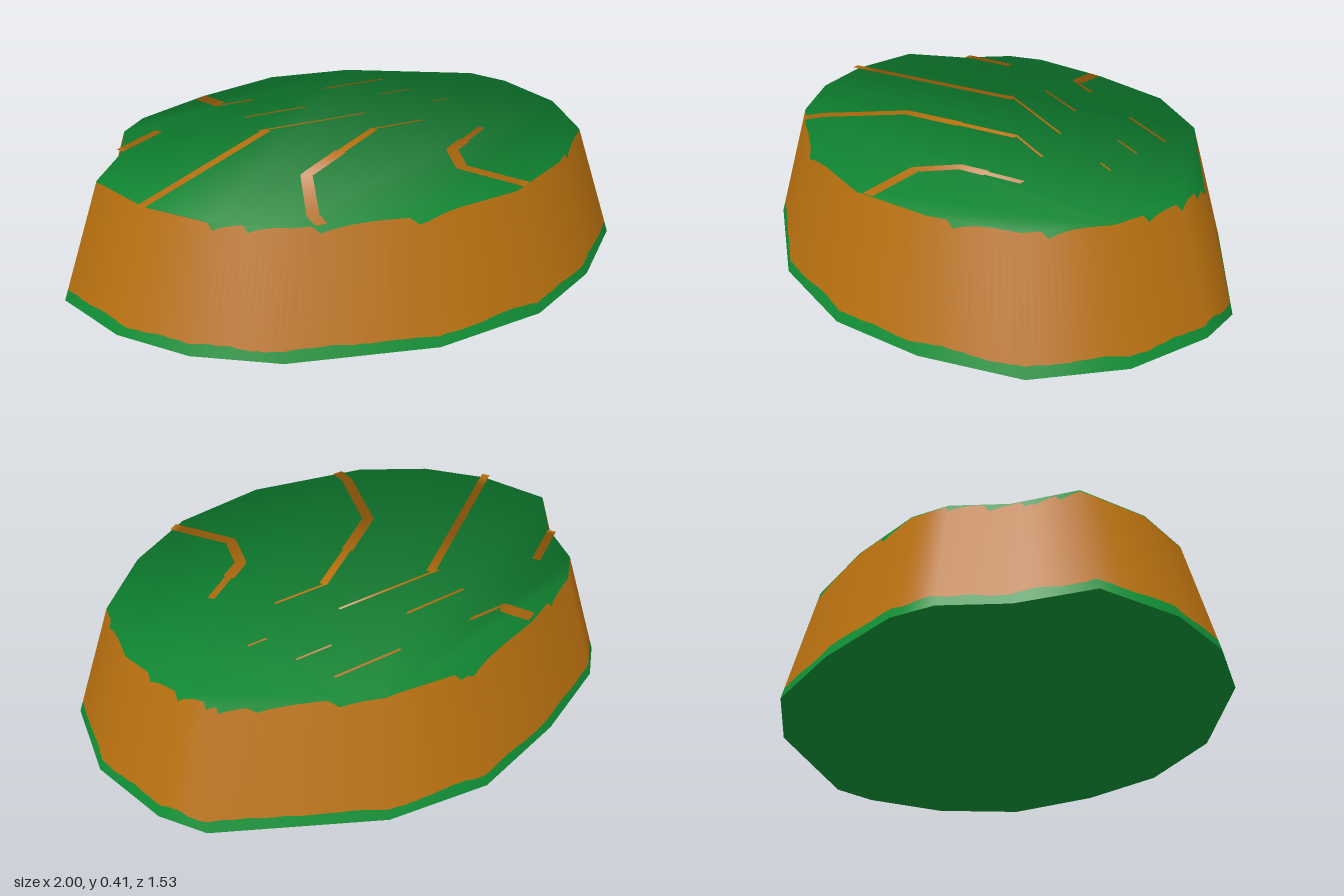
import * as THREE from 'three';

const H = 0.41, TAPER = 0.86, STEPS = 14;

// Footprint corners [x, z], counter-clockwise seen from above
const base = [
  [0, -0.77], [-0.36, -0.67], [-0.67, -0.53], [-0.78, -0.42], [-0.85, -0.21], [-1, 0],
  [-0.9, 0.28], [-0.73, 0.49], [-0.48, 0.65], [0, 0.76], [0.39, 0.71], [0.68, 0.55],
  [0.93, 0.31], [1, 0], [0.94, -0.3], [0.85, -0.45], [0.35, -0.72],
].map(([x, z]) => new THREE.Vector3(x, 0, z));
const N = base.length;

// Smooth outward normal at each corner, shared by the wall and the grass top
const normals = base.map((_, i) => {
  const d = base[(i + 1) % N].clone().sub(base[(i + N - 1) % N]).normalize();
  return new THREE.Vector3(-d.z, 0.35, d.x).normalize();
});
const rim = base.map((p) => new THREE.Vector3(p.x * TAPER, H, p.z * TAPER));

// Triangles that cover the outline
const faces = [[8, 13, 16], [16, 0, 1], [13, 14, 16], [14, 15, 16]];
for (let i = 1; i < 8; i++) faces.push([16, i, i + 1]);
for (let i = 8; i < 12; i++) faces.push([13, i, i + 1]);

function makeMesh(name, points, norms, index, material) {
  const g = new THREE.BufferGeometry();
  g.setAttribute('position', new THREE.Float32BufferAttribute(points.flatMap((p) => p.toArray()), 3));
  g.setAttribute('normal', new THREE.Float32BufferAttribute(norms.flatMap((n) => n.toArray()), 3));
  g.setIndex(index);
  const mesh = new THREE.Mesh(g, material);
  mesh.name = name;
  return mesh;
}

// Surface between two rows of equal length
function strip(name, a, b, norms, material) {
  const n = a.length, index = [];
  for (let i = 0; i < n - 1; i++) index.push(i, i + 1, n + i + 1, i, n + i + 1, n + i);
  return makeMesh(name, [...a, ...b], [...norms, ...norms], index, material);
}

// Normal of the grass top at any point
function topNormal(p) {
  const flat = new THREE.Vector3(p.x, H, p.z), w = new THREE.Vector3();
  for (const f of faces) {
    const tri = new THREE.Triangle(...f.map((i) => rim[i]));
    tri.getBarycoord(flat, w);
    if (Math.min(w.x, w.y, w.z) < -1e-4) continue;
    const n = new THREE.Vector3();
    f.forEach((i, k) => n.addScaledVector(normals[i], w.getComponent(k)));
    return n.normalize();
  }
  return new THREE.Vector3(0, 1, 0);
}

// Thin painted crack following a path of [x, z] points
function crack(name, width, path, material) {
  const pts = [];
  path.forEach(([x, z], i) => {
    const p = new THREE.Vector3(x, H + 0.003, z);
    if (i) for (let k = 1; k < 8; k++) pts.push(pts[pts.length - k].clone().lerp(p, 1 / (9 - k)));
    pts.push(p);
  });
  // Even spacing between the given points
  const corners = path.map(([x, z]) => new THREE.Vector3(x, H + 0.003, z));
  pts.forEach((p, i) => {
    const s = Math.min(Math.floor(i / 8), corners.length - 2);
    p.lerpVectors(corners[s], corners[s + 1], i / 8 - s);
  });
  const side = pts.map((_, i) => {
    const t = pts[Math.min(i + 1, pts.length - 1)].clone().sub(pts[Math.max(i - 1, 0)]).normalize();
    return new THREE.Vector3(-t.z, 0, t.x).multiplyScalar(width / 2);
  });
  return strip(name, pts.map((p, i) => p.clone().add(side[i])),
    pts.map((p, i) => p.clone().sub(side[i])), pts.map(topNormal), material);
}

export function createModel() {
  const group = new THREE.Group();
  group.name = 'plateau';
  const grass = new THREE.MeshStandardMaterial({ color: 0x118f36 });
  grass.name = 'grass green';
  const earth = new THREE.MeshStandardMaterial({ color: 0xb8700f });
  earth.name = 'earth brown';

  // Seeded noise for the ragged grass edges
  let seed = 7;
  const rand = () => (seed = (seed * 16807) % 2147483647) / 2147483647;

  // Sloping wall: grass fringe, earth, dripping grass edge
  const rows = [[], [], [], []], wallNormals = [];
  let drip = 0;
  for (let i = 0; i <= N * STEPS; i++) {
    const c = Math.floor(i / STEPS) % N, t = (i % STEPS) / STEPS, next = (c + 1) % N;
    const p = base[c].clone().lerp(base[next], t);
    drip = rand() < 0.08 ? 0.026 : Math.max(0.003, drip * 0.7);
    const low = 0.035 + 0.006 * Math.sin(i * 0.45) * Math.sin(i * 0.13) + 0.004 * rand();
    [0, low, H - drip, H].forEach((y, r) => {
      const s = 1 - (1 - TAPER) * y / H;
      rows[r].push(new THREE.Vector3(p.x * s, y, p.z * s));
    });
    wallNormals.push(normals[c].clone().lerp(normals[next], t).normalize());
  }
  for (let r = 1; r < 4; r++) rows[r][N * STEPS].copy(rows[r][0]);
  group.add(
    strip('baseGrassFringe', rows[0], rows[1], wallNormals, grass),
    strip('earthWall', rows[1], rows[2], wallNormals, earth),
    strip('topGrassEdge', rows[2], rows[3], wallNormals, grass),
  );

  // Grass top and underside
  group.add(makeMesh('grassTop', rim, normals, faces.flat(), grass));
  const down = base.map(() => new THREE.Vector3(0, -1, 0));
  group.add(makeMesh('underside', base, down, faces.flatMap(([a, b, c]) => [a, c, b]), grass));

  // Bare earth cracks in the grass
  const cracks = [
    [0.03, [-0.79, 0.25], [-0.21, -0.165]],
    [0.04, [-0.325, 0.585], [-0.325, 0.52], [-0.23, 0.24], [-0.05, 0.11]],
    [0.028, [-0.05, 0.11], [0.135, -0.02]],
    [0.04, [0.385, 0.59], [0.26, 0.39], [0.3, 0.25], [0.38, 0.195]],
    [0.025, [0.38, 0.195], [0.49, 0.12]],
    [0.03, [-0.73, -0.2], [-0.56, -0.31]],
    [0.05, [-0.325, -0.56], [-0.28, -0.465]],
    [0.012, [-0.3, -0.458], [-0.15, -0.458]],
    [0.01, [0.13, -0.46], [0.38, -0.46]],
    [0.01, [-0.24, -0.31], [0, -0.315]],
    [0.008, [0.3, -0.32], [0.43, -0.32]],
    [0.01, [-0.24, -0.17], [0.17, -0.17]],
    [0.008, [0.45, -0.175], [0.52, -0.175]],
    [0.01, [0.12, -0.025], [0.33, -0.025]],
  ];
  cracks.forEach(([w, ...path], i) => group.add(crack(`earthCrack${i + 1}`, w, path, earth)));
  return group;
}
